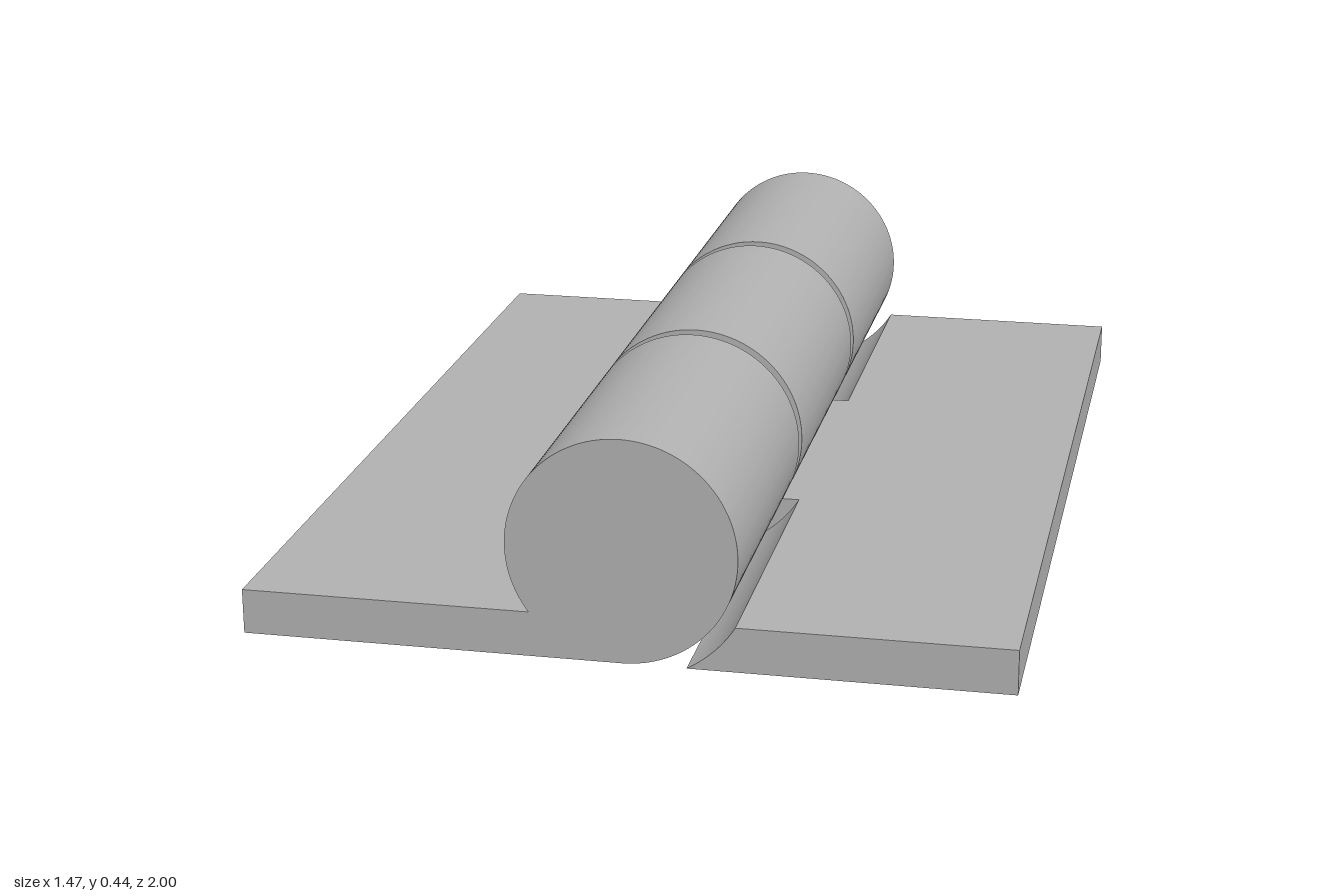
import * as THREE from 'three';
import { toCreasedNormals } from 'three/addons/utils/BufferGeometryUtils.js';

const R = 0.219;          // knuckle radius, also axis height
const CLEAR = 0.251;      // radius of the clearance cut in the opposite leaf
const THICK = 0.088;      // leaf thickness
const REACH = 0.733;      // outer edge of each leaf
const END = 0.355;        // inner end of the outer knuckles
const MID = 0.3225;       // half length of the middle knuckle

const steel = new THREE.MeshStandardMaterial({ color: 0xb0b0b0 });
steel.name = 'grey steel';

// Leaf on the -x side with the rolled knuckle joined to it
function knuckleProfile() {
  const s = new THREE.Shape();
  s.moveTo(-REACH, 0);
  s.lineTo(0, 0);
  const end = Math.PI + Math.asin((R - THICK) / R);
  s.absarc(0, R, R, -Math.PI / 2, end, false);
  s.lineTo(-REACH, THICK);
  s.closePath();
  return s;
}

// Leaf on the -x side cut back to clear the other leaf's knuckle
function clearanceProfile() {
  const s = new THREE.Shape();
  s.moveTo(-REACH, 0);
  s.lineTo(-Math.sqrt(CLEAR * CLEAR - R * R), 0);
  const a0 = Math.PI + Math.asin(R / CLEAR);
  const a1 = Math.PI + Math.asin((R - THICK) / CLEAR);
  s.absarc(0, R, CLEAR, a0, a1, true);
  s.lineTo(-REACH, THICK);
  s.closePath();
  return s;
}

function section(name, shape, z0, z1) {
  const raw = new THREE.ExtrudeGeometry(shape, { depth: z1 - z0, bevelEnabled: false, curveSegments: 72 });
  raw.translate(0, 0, z0);
  const mesh = new THREE.Mesh(toCreasedNormals(raw, 0.4), steel);
  mesh.name = name;
  return mesh;
}

export function createModel() {
  const hinge = new THREE.Group();
  hinge.name = 'hinge';

  // Right leaf carries the two outer knuckles
  const rightLeaf = new THREE.Group();
  rightLeaf.name = 'rightLeaf';
  rightLeaf.add(
    section('frontKnuckle', knuckleProfile(), END, 1),
    section('rightLeafNotch', clearanceProfile(), -END, END),
    section('backKnuckle', knuckleProfile(), -1, -END)
  );

  // Left leaf carries the middle knuckle, turned round to face the other way
  const leftLeaf = new THREE.Group();
  leftLeaf.name = 'leftLeaf';
  leftLeaf.add(
    section('leftLeafFrontNotch', clearanceProfile(), -1, -MID),
    section('middleKnuckle', knuckleProfile(), -MID, MID),
    section('leftLeafBackNotch', clearanceProfile(), MID, 1)
  );
  leftLeaf.rotation.y = Math.PI;

  // Pin showing in the gaps between the knuckles
  const pin = new THREE.Mesh(new THREE.CylinderGeometry(0.094, 0.094, 1.8, 48), steel);
  pin.name = 'pin';
  pin.rotation.x = Math.PI / 2;
  pin.position.y = R;

  hinge.add(rightLeaf, leftLeaf, pin);
  return hinge;
}
